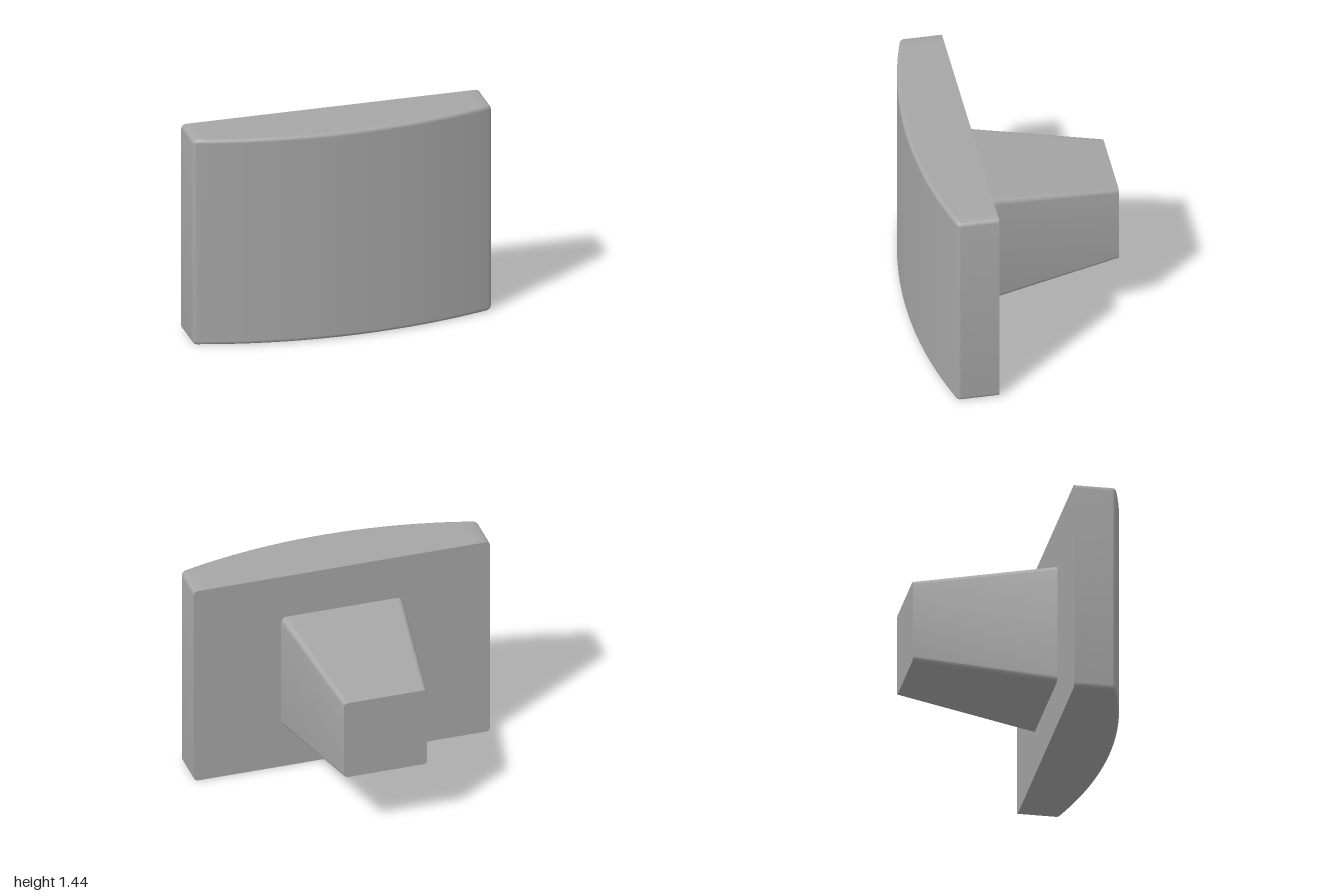
import * as THREE from 'three';
import { toCreasedNormals } from 'three/addons/utils/BufferGeometryUtils.js';

const CENTER_Y = 0.718;
const CORNER_STEPS = 5;
const EDGE_STEPS = 28;

// Upper half of a rounded rectangle, from its +x side over the top to its -x side
function upperOutline(halfW, halfH, r) {
  const points = [];
  const corner = (cx, start) => {
    for (let i = 0; i <= CORNER_STEPS; i++) {
      const a = start + (i / CORNER_STEPS) * Math.PI / 2;
      points.push([cx + r * Math.cos(a), halfH - r + r * Math.sin(a)]);
    }
  };
  corner(halfW - r, 0);
  for (let i = 1; i < EDGE_STEPS; i++) {
    points.push([(halfW - r) * (1 - 2 * i / EDGE_STEPS), halfH]);
  }
  corner(-(halfW - r), Math.PI / 2);
  return points;
}

// Skins rounded rectangles from back to front; each section gives z as a function of x
function loft(sections) {
  const positions = [], index = [];
  let half = 0;
  for (const { w, h, r, z } of sections) {
    const upper = upperOutline(w, h, r);
    half = upper.length;
    const lower = upper.map(([x, y]) => [x, -y]).reverse();
    for (const [x, y] of [...upper, ...lower]) positions.push(x, y, z(x));
  }
  const n = half * 2;
  const quad = (a, b, c, d) => index.push(a, b, c, a, c, d);
  // Side walls
  for (let j = 0; j < sections.length - 1; j++) {
    for (let i = 0; i < n; i++) {
      const k = (i + 1) % n;
      quad(j * n + i, j * n + k, (j + 1) * n + k, (j + 1) * n + i);
    }
  }
  // End caps, in strips from the top edge to the bottom edge
  const last = (sections.length - 1) * n;
  for (let i = 0; i < half - 1; i++) {
    const lo = n - 1 - i;
    quad(last + i, last + i + 1, last + lo - 1, last + lo);
    quad(i, lo, lo - 1, i + 1);
  }
  const geometry = new THREE.BufferGeometry();
  geometry.setAttribute('position', new THREE.Float32BufferAttribute(positions, 3));
  geometry.setIndex(index);
  return toCreasedNormals(geometry, 0.6);
}

export function createModel() {
  const group = new THREE.Group();
  const grey = new THREE.MeshStandardMaterial({ color: 0xa6a6a6 });
  grey.name = 'grey';

  const add = (name, geometry) => {
    const mesh = new THREE.Mesh(geometry, grey);
    mesh.name = name;
    mesh.position.y = CENTER_Y;
    group.add(mesh);
  };

  // Face plate: flat back, front bowed along x, with a small fillet around the front
  const R = 3.41, fillet = 0.022, cornerR = 0.03;
  const bow = (x) => 0.67 - (R - Math.sqrt(R * R - x * x));
  const section = (inset, z) => ({ w: 1 - inset, h: CENTER_Y - inset, r: cornerR - inset, z });
  const plate = [
    section(0, () => 0.25),
    section(0, (x) => bow(x) - fillet - 0.006),
  ];
  for (let i = 0; i <= 5; i++) {
    const a = (i / 5) * Math.PI / 2;
    plate.push(section(fillet * (1 - Math.cos(a)), (x) => bow(x) - fillet * (1 - Math.sin(a))));
  }
  plate.push(section(fillet + 0.006, bow));
  add('facePlate', loft(plate));

  // Tapered square stem behind the plate
  add('stem', loft([
    { w: 0.28, h: 0.28, r: 0.025, z: () => -0.67 },
    { w: 0.41, h: 0.41, r: 0.035, z: () => 0.25 },
  ]));

  return group;
}
